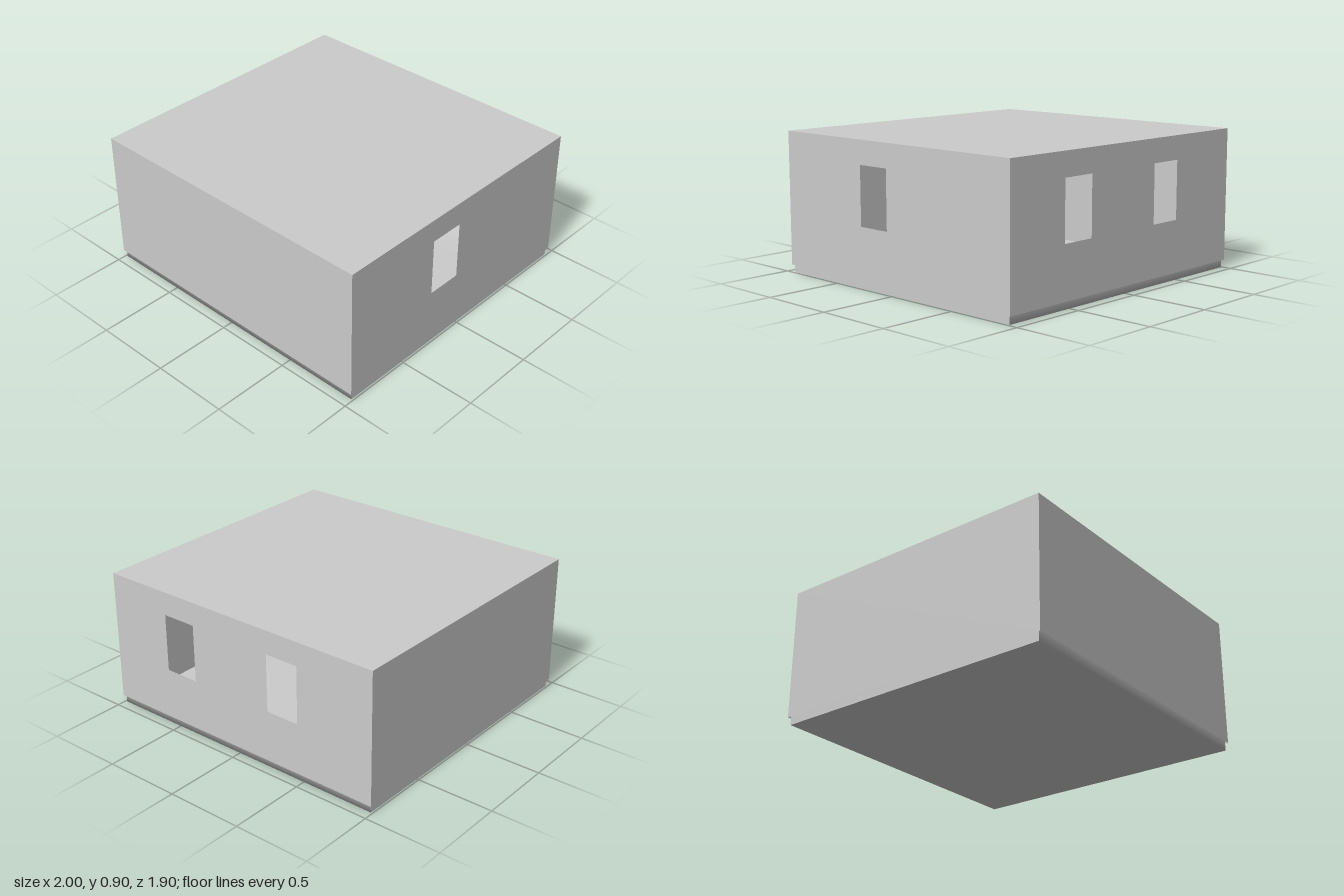
import * as THREE from 'three';

const W = 1, D = 0.95, BOTTOM = 0.05, TOP = 0.9;   // half width, half depth, wall heights
const SILL = 0.38, LINTEL = 0.75;
const material = new THREE.MeshStandardMaterial({ color: 0xcccccc, side: THREE.DoubleSide });

function rectangle(PathType, x0, x1, y0, y1) {
  const p = new PathType();
  p.moveTo(x0, y0);
  p.lineTo(x1, y0);
  p.lineTo(x1, y1);
  p.lineTo(x0, y1);
  p.closePath();
  return p;
}

// Thin wall facing +z before it is turned; windows are [from, to] along its own width
function wall(name, half, distance, angle, windows = []) {
  const shape = rectangle(THREE.Shape, -half, half, BOTTOM, TOP);
  for (const [a, b] of windows) shape.holes.push(rectangle(THREE.Path, a, b, SILL, LINTEL));
  const geometry = new THREE.ShapeGeometry(shape);
  geometry.translate(0, 0, distance);
  geometry.rotateY(angle);
  const mesh = new THREE.Mesh(geometry, material);
  mesh.name = name;
  return mesh;
}

// Floor sheet bent up at the front and back, with smooth normals across the bends
function floorTray(halfX, halfZ, lip) {
  const profile = [[halfZ, lip], [halfZ, 0], [0.5, 0], [-0.5, 0], [-halfZ, 0], [-halfZ, lip]];
  const geometry = new THREE.PlaneGeometry(2 * halfX, 1, 1, profile.length - 1);
  const pos = geometry.attributes.position;
  for (let i = 0; i < pos.count; i++) {
    const [z, y] = profile[Math.floor(i / 2)];
    pos.setXYZ(i, pos.getX(i), y, z);
  }
  geometry.computeVertexNormals();
  const mesh = new THREE.Mesh(geometry, material);
  mesh.name = 'floorTray';
  return mesh;
}

export function createModel() {
  const group = new THREE.Group();
  group.name = 'room';

  // Four walls: one window on the left side, two at the back
  group.add(
    wall('frontWall', W, D, 0),
    wall('leftWall', D, W, Math.PI / 2, [[-0.265, -0.035]]),
    wall('backWall', W, D, Math.PI, [[-0.56, -0.33], [0.245, 0.47]]),
    wall('rightWall', D, W, -Math.PI / 2)
  );

  // Flat roof
  const roof = new THREE.Mesh(new THREE.PlaneGeometry(2 * W, 2 * D).rotateX(-Math.PI / 2), material);
  roof.name = 'roof';
  roof.position.y = TOP;
  group.add(roof);

  // Floor set slightly inside the walls, closed by an end strip on each side
  const halfX = 0.988, halfZ = 0.935, lip = 0.075;
  group.add(floorTray(halfX, halfZ, lip));
  for (const side of [1, -1]) {
    const strip = new THREE.Mesh(new THREE.PlaneGeometry(2 * halfZ, lip), material);
    strip.name = side > 0 ? 'leftFloorEdge' : 'rightFloorEdge';
    strip.rotation.y = side * Math.PI / 2;
    strip.position.set(side * halfX, lip / 2, 0);
    group.add(strip);
  }
  return group;
}
